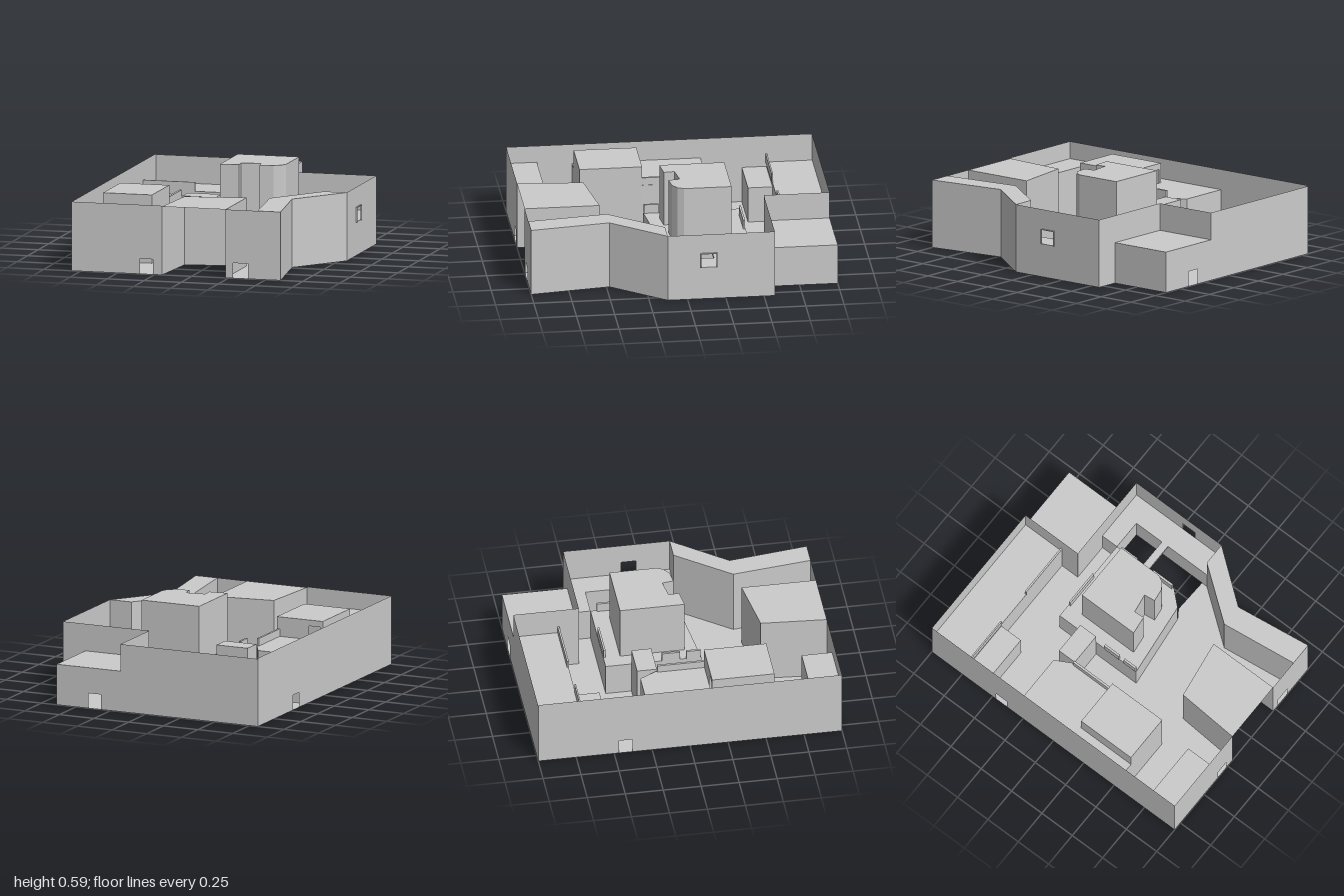
import * as THREE from 'three';

const material = new THREE.MeshStandardMaterial({ color: 0xcccccc, side: THREE.DoubleSide, flatShading: true });
const H = 0.45;        // outer wall height
const DECK = 0.22;     // raised deck level
const TERRACE = 0.27;  // rear terrace level

const outline = (points) => points.map(([a, b]) => new THREE.Vector2(a, b));

export function createModel() {
  const model = new THREE.Group();

  function add(name, geometry) {
    const mesh = new THREE.Mesh(geometry, material);
    mesh.name = name;
    model.add(mesh);
    return mesh;
  }

  // Horizontal sheet from [x, z] corners, with optional holes
  function flat(name, points, y, holes = []) {
    const shape = new THREE.Shape(outline(points));
    holes.forEach((h) => shape.holes.push(new THREE.Path(outline(h))));
    const g = new THREE.ShapeGeometry(shape);
    // reverse the winding so the sheet faces up
    g.rotateX(Math.PI / 2);
    const index = g.index.array;
    for (let i = 0; i < index.length; i += 3) [index[i], index[i + 1]] = [index[i + 1], index[i]];
    g.computeVertexNormals();
    return add(name, g);
  }
  const level = (name, points, y, holes) => {
    flat(name, points, y, holes).position.y = y;
  };

  // Upright sheet from p to q; opening = [start, end, bottom, top] along it
  function wall(name, p, q, y0, y1, opening) {
    const dx = q[0] - p[0], dz = q[1] - p[1], length = Math.hypot(dx, dz);
    let corners = [[0, y0], [length, y0], [length, y1], [0, y1]];
    const shape = new THREE.Shape();
    if (opening && opening[2] <= y0) {
      const [a, b, , t] = opening;
      corners = [[0, y0], [a, y0], [a, t], [b, t], [b, y0], ...corners.slice(1)];
    }
    shape.setFromPoints(outline(corners));
    if (opening && opening[2] > y0) {
      const [a, b, s, t] = opening;
      shape.holes.push(new THREE.Path(outline([[a, s], [a, t], [b, t], [b, s]])));
    }
    const mesh = add(name, new THREE.ShapeGeometry(shape));
    mesh.position.set(p[0], 0, p[1]);
    mesh.rotation.y = Math.atan2(-dz, dx);
  }

  function walls(name, points, y0, y1, closed = false) {
    const n = closed ? points.length : points.length - 1;
    for (let i = 0; i < n; i++) wall(name, points[i], points[(i + 1) % points.length], y0, y1);
  }

  // Block without an underside
  function block(name, points, y0, y1) {
    walls(name + 'Side', points, y0, y1, true);
    level(name + 'Top', points, y1);
  }
  const rect = (x0, x1, z0, z1) => [[x0, z0], [x1, z0], [x1, z1], [x0, z1]];

  function rail(name, x0, x1, z0, z1, y0, y1) {
    const g = new THREE.BoxGeometry(x1 - x0, y1 - y0, z1 - z0);
    g.translate((x0 + x1) / 2, (y0 + y1) / 2, (z0 + z1) / 2);
    add(name, g);
  }

  // Perimeter walls with doorways
  wall('frontLeftWall', [-0.81, 1], [-0.2, 1], 0, 0.455, [0.46, 0.55, 0, 0.1]);
  wall('frontRightWall', [0.23, 1], [0.6, 1], 0, H, [0.05, 0.15, 0, 0.1]);
  walls('angledWall', [[0.6, 1], [0.53, 0.48], [0.8, 0.13]], 0, H);
  wall('rightWall', [0.8, 0.13], [0.8, -0.57], 0, H, [0.22, 0.32, 0.22, 0.32]);
  walls('annexWall', [[0.8, -0.57], [0.18, -0.57]], 0, H);
  walls('stepWall', [[0.18, -0.57], [0.18, -1]], TERRACE, H);
  wall('lowRightWall', [0.64, -0.57], [0.64, -1], 0, TERRACE);
  wall('lowBackWall', [0.64, -1], [0.18, -1], 0, TERRACE, [0.23, 0.32, 0, 0.1]);
  wall('backWall', [0.18, -1], [-0.81, -1], 0, H);
  wall('leftWall', [-0.81, -1], [-0.81, 1], 0, 0.455, [0.53, 0.62, 0, 0.1]);

  // Frame around the side opening
  rail('sideFrame', 0.8, 0.81, -0.195, -0.19, 0.22, 0.32);
  rail('sideFrame', 0.8, 0.81, -0.09, -0.085, 0.22, 0.32);
  rail('sideFrame', 0.8, 0.81, -0.195, -0.085, 0.315, 0.32);

  // Covered bay in the front, open forwards and below
  const bay = [[-0.2, 1], [-0.17, 0.57], [0.23, 0.51], [0.23, 1]];
  walls('bayWall', bay, 0, H);
  level('bayRoof', bay, H);

  // Thick roofed wall along the front right
  const inner = [[0.445, 1], [0.38, 0.48], [0.645, 0.13]];
  walls('thickWallInside', [...inner, [0.8, 0.13]], 0, H);
  level('thickWallTop', [...inner, [0.8, 0.13], [0.53, 0.48], [0.6, 1]], H);

  // Ground, left open under the raised blocks and the pits
  level('ground', [
    [-0.81, -1], [0.64, -1], [0.64, -0.57], [0.8, -0.57], [0.8, 0.13], [0.53, 0.48], [0.6, 1],
    [0.23, 1], [0.23, 0.51], [-0.17, 0.57], [-0.2, 1], [-0.41, 1], [-0.41, 0.8], [-0.81, 0.8],
    [-0.81, 0.57], [-0.39, 0.57], [-0.4, -0.16], [-0.46, -0.27], [-0.81, -0.27],
  ], 0, [[[-0.165, -0.45], [0.645, -0.45], [0.645, 0.09], [0.41, 0.08], [0.35, 0.12], [-0.165, 0.18]]]);

  // Rear terrace with parapets
  level('terrace', [[-0.81, -1], [0.64, -1], [0.64, -0.57], [0.18, -0.57], [0.18, -0.7], [-0.81, -0.7]], TERRACE);
  walls('terraceFace', [[-0.81, -0.7], [0.18, -0.7], [0.18, -0.57]], 0, TERRACE);
  rail('terraceParapet', -0.81, -0.46, -0.705, -0.695, TERRACE, 0.33);
  rail('terraceParapet', -0.2, 0.18, -0.71, -0.698, TERRACE, 0.32);
  block('terraceBlock', rect(-0.81, -0.46, -0.7, -0.54), 0, 0.24);

  // Central platform and tower
  const platform = [[-0.165, -0.45], [0.44, -0.45], [0.44, 0.02], [0.35, 0.12], [-0.165, 0.18]];
  const tower = [
    [-0.07, -0.34], [0.345, -0.34], [0.345, -0.03], [0.325, 0.01], [0.28, 0.043], [0.19, 0.055],
    [0.18, -0.02], [0.05, 0], [0.055, 0.07], [-0.07, 0.085],
  ];
  walls('platformSide', platform, 0, DECK, true);
  level('platformTop', platform, DECK, [tower]);
  block('tower', tower, DECK, 0.59);
  for (const [z0, z1] of [[-0.41, -0.28], [-0.15, 0.01]]) rail('rightRail', 0.427, 0.442, z0, z1, DECK, 0.28);
  for (const [z0, z1] of [[-0.08, 0.04], [0.08, 0.175]]) rail('leftRail', -0.17, -0.155, z0, z1, DECK, 0.28);
  rail('backRail', -0.07, 0.18, -0.448, -0.435, DECK, 0.28);

  // Right-hand deck and the bridge to it
  level('rightDeck', rect(0.645, 0.8, -0.57, 0.13), DECK);
  level('rearDeck', rect(0.44, 0.645, -0.57, -0.45), DECK);
  walls('deckSide', [[0.44, -0.57], [0.44, -0.45], [0.645, -0.45], [0.645, 0.13]], 0, DECK);
  rail('bridge', 0.44, 0.645, -0.24, -0.19, 0.2, DECK);

  // Left buildings
  block('leftPlatform', [[-0.81, -0.27], [-0.46, -0.27], [-0.4, -0.16], [-0.39, 0.16], [-0.81, 0.16]], 0, 0.32);
  const house = rect(-0.72, -0.39, 0.16, 0.57);
  walls('houseSide', house.slice(1).concat([house[0]]), 0, H);
  wall('houseDoorWall', house[0], house[1], 0.32, H, [0.02, 0.1, 0.32, 0.41]);
  level('houseTop', house, H);
  block('sideLedge', rect(-0.81, -0.72, 0.16, 0.57), 0, 0.32);
  rail('platformRail', -0.41, -0.395, -0.15, 0.16, 0.3, 0.37);
  block('smallHut', rect(-0.39, -0.165, -0.28, -0.15), 0, 0.33);
  block('cornerBlock', rect(-0.81, -0.41, 0.8, 1), 0.1, 0.34);
  walls('cornerBlockBase', [[-0.81, 0.8], [-0.41, 0.8], [-0.41, 1]], 0, 0.1);

  return model;
}
